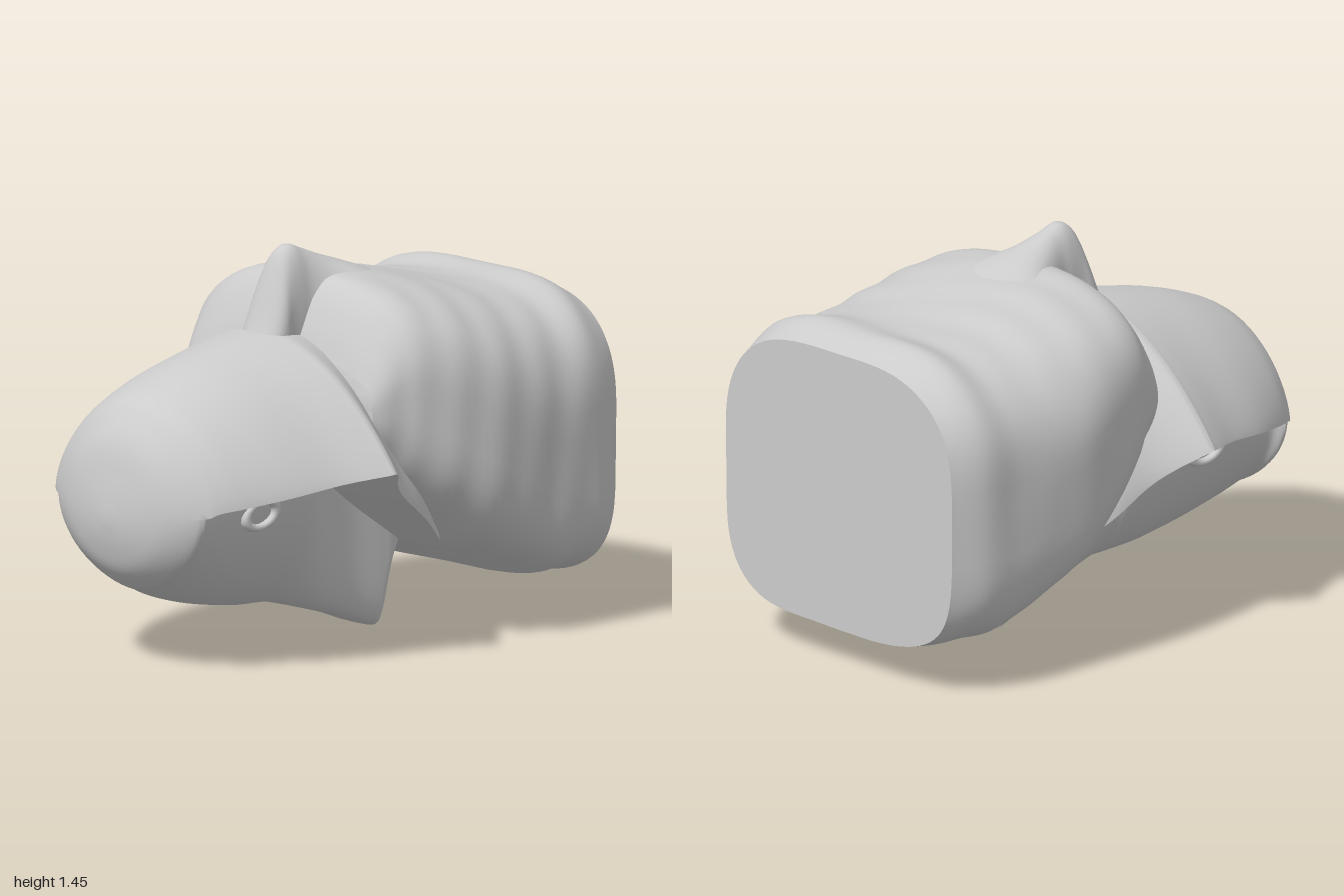
import * as THREE from 'three';
import { toCreasedNormals } from 'three/addons/utils/BufferGeometryUtils.js';

const grey = new THREE.MeshStandardMaterial({ color: 0xcccccc, side: THREE.DoubleSide });

function mesh(name, geometry, crease = 0.7) {
  const m = new THREE.Mesh(toCreasedNormals(geometry, crease), grey);
  m.name = name;
  return m;
}

// Smoothly resample a table of stations (Catmull-Rom on every column)
function resample(rows, steps) {
  const out = [];
  const last = rows.length - 1;
  const row = i => rows[THREE.MathUtils.clamp(i, 0, last)];
  for (let i = 0; i < last; i++) {
    for (let k = 0; k < steps; k++) {
      const t = k / steps;
      out.push(rows[i].map((p1, c) => {
        const p0 = row(i - 1)[c], p2 = row(i + 1)[c], p3 = row(i + 2)[c];
        return p1 + 0.5 * t * (p2 - p0 + t * (2 * p0 - 5 * p1 + 4 * p2 - p3 + t * (3 * (p1 - p2) + p3 - p0)));
      }));
    }
  }
  out.push(rows[last]);
  return out;
}

// Skin rings (front to back, counter-clockwise seen from the front) and close both ends
function loft(rings) {
  const n = rings[0].length, pos = [], idx = [];
  rings.forEach(r => r.forEach(p => pos.push(p.x, p.y, p.z)));
  for (let i = 0; i < rings.length - 1; i++) {
    for (let j = 0; j < n; j++) {
      const a = i * n + j, b = i * n + (j + 1) % n;
      idx.push(a, a + n, b, b, a + n, b + n);
    }
  }
  [0, rings.length - 1].forEach((ri, end) => {
    const c = new THREE.Vector3();
    rings[ri].forEach(p => c.addScaledVector(p, 1 / n));
    pos.push(c.x, c.y, c.z);
    const centre = pos.length / 3 - 1;
    for (let j = 0; j < n; j++) {
      const a = ri * n + j, b = ri * n + (j + 1) % n;
      if (end === 0) idx.push(centre, a, b);
      else idx.push(centre, b, a);
    }
  });
  const g = new THREE.BufferGeometry();
  g.setAttribute('position', new THREE.Float32BufferAttribute(pos, 3));
  g.setIndex(idx);
  return g;
}

const spow = (v, e) => Math.sign(v) * Math.pow(Math.abs(v), e);

// Rounded cross-section; the powers set how square its upper and lower halves are
function superRing(z, top, bottom, half, upper, lower, n) {
  const mid = (top + bottom) / 2;
  return Array.from({ length: n }, (_, j) => {
    const a = j / n * Math.PI * 2, e = 2 / (j < n / 2 ? upper : lower);
    return new THREE.Vector3(half * spow(Math.cos(a), e), mid + (top - mid) * spow(Math.sin(a), e), z);
  });
}

// Block behind the head: arched top, squarer underside, slightly lumpy skin
function blockGeometry() {
  // z, top, bottom, half width, upper power, lower power
  const rows = [
    [0.13, 1.06, 0.72, 0.48, 2.6, 2.8], [0.09, 1.17, 0.67, 0.51, 2.5, 3], [0.03, 1.28, 0.62, 0.54, 2.5, 3.4],
    [-0.04, 1.335, 0.57, 0.58, 2.5, 4], [-0.18, 1.335, 0.46, 0.63, 2.5, 4.4], [-0.36, 1.3, 0.33, 0.665, 2.6, 4.6],
    [-0.55, 1.255, 0.24, 0.66, 2.8, 4.6], [-0.72, 1.235, 0.17, 0.65, 2.9, 4.6], [-0.87, 1.255, 0.16, 0.645, 3, 4.4],
    [-1, 1.2, 0.15, 0.59, 3.2, 4]
  ];
  return loft(resample(rows, 6).map(([z, t, b, w, up, low]) => {
    const fade = THREE.MathUtils.smoothstep(-z, -0.05, 0.15);
    return superRing(z, t, b, w, up, low, 80).map(v => {
      const wave = Math.sin(z * 31 + Math.sin(v.x * 5) * 2 + v.y * 4) * Math.cos(v.x * 4 + 1)
        + Math.sin(v.x * 11 + z * 9) * Math.cos(v.y * 12 - z * 5);
      const k = 1 + 0.006 * fade * wave;
      v.x *= k;
      v.y = 0.72 + (v.y - 0.72) * k;
      return v;
    });
  }));
}

// Domed cap with a flared brim sloping back under the block; below it the face steps in
// behind its front and narrows into the slanted neck stub
function headGeometry() {
  // z, crown top, brim half width, brim height, face half width, chin, dome roundness, face squareness
  const rows = [
    [1, 0.6, 0.03, 0.57, 0.03, 0.54, 0.5, 2], [0.985, 0.7, 0.14, 0.58, 0.14, 0.46, 0.5, 2],
    [0.95, 0.84, 0.26, 0.59, 0.26, 0.37, 0.55, 1.9], [0.88, 0.945, 0.38, 0.60, 0.37, 0.30, 0.6, 1.8],
    [0.84, 0.98, 0.42, 0.62, 0.34, 0.28, 0.65, 1.8],
    [0.76, 1.02, 0.47, 0.635, 0.33, 0.245, 0.7, 1.8], [0.6, 1.075, 0.54, 0.66, 0.32, 0.20, 0.8, 1.8],
    [0.4, 1.12, 0.60, 0.69, 0.32, 0.165, 0.9, 1.8], [0.25, 1.145, 0.67, 0.71, 0.29, 0.155, 0.95, 1.8],
    [0.2, 1.15, 0.68, 0.71, 0.26, 0.15, 0.95, 1.8], [0.12, 1.14, 0.60, 0.65, 0.2, 0.13, 0.85, 2.2],
    [0.03, 1.12, 0.54, 0.585, 0.15, 0.105, 0.75, 3],
    [-0.12, 1.05, 0.50, 0.48, 0.125, 0.06, 0.7, 4], [-0.26, 0.98, 0.42, 0.385, 0.125, 0.01, 0.7, 5],
    [-0.29, 0.97, 0.4, 0.365, 0.125, 0.02, 0.7, 5], [-0.32, 0.96, 0.37, 0.345, 0.125, 0.17, 0.7, 5],
    [-0.36, 0.95, 0.3, 0.32, 0.12, 0.30, 0.7, 4]
  ];
  const n = 32;
  return loft(resample(rows, 5).map(([z, top, brim, yb, face, chin, q, power]) => {
    const ring = [];
    for (let j = 0; j <= n; j++) {
      const s = Math.cos(j / n * Math.PI);
      ring.push(new THREE.Vector3(brim * s, yb + (top - yb) * Math.pow(Math.max(0, 1 - s * s), q), z));
    }
    for (let j = 0; j <= n; j++) {
      const a = j / n * Math.PI;
      ring.push(new THREE.Vector3(
        -face * spow(Math.cos(a), 2 / power), yb - (yb - chin) * spow(Math.max(0, Math.sin(a)), 2 / power), z));
    }
    return ring;
  }));
}

// Fin rising from the cap and melting back into the block
function ridgeGeometry() {
  // z, top, half width
  const rows = [
    [0.27, 1.1, 0.08], [0.23, 1.19, 0.1], [0.18, 1.33, 0.1], [0.14, 1.42, 0.09], [0.09, 1.45, 0.09],
    [0.03, 1.43, 0.1], [-0.06, 1.395, 0.16], [-0.18, 1.355, 0.28], [-0.32, 1.3, 0.36]
  ];
  return loft(resample(rows, 4).map(([z, t, w]) => superRing(z, t, 0.9, w, 2.2, 2.2, 36)));
}

export function createModel() {
  const group = new THREE.Group();
  group.name = 'cappedHeadOnBlock';
  group.add(
    mesh('block', blockGeometry()),
    mesh('headCapAndNeck', headGeometry(), 0.9),
    mesh('ridge', ridgeGeometry(), 1)
  );
  // Small rimmed eyes under the brim
  for (const side of [-1, 1]) {
    const eye = mesh(side > 0 ? 'leftEye' : 'rightEye', new THREE.TorusGeometry(0.07, 0.02, 8, 20), 1.5);
    eye.rotation.set(0, Math.PI / 2, side * 0.2);
    eye.scale.set(1.1, 0.65, 1);
    eye.position.set(side * 0.31, 0.56, 0.53);
    group.add(eye);
  }
  return group;
}
